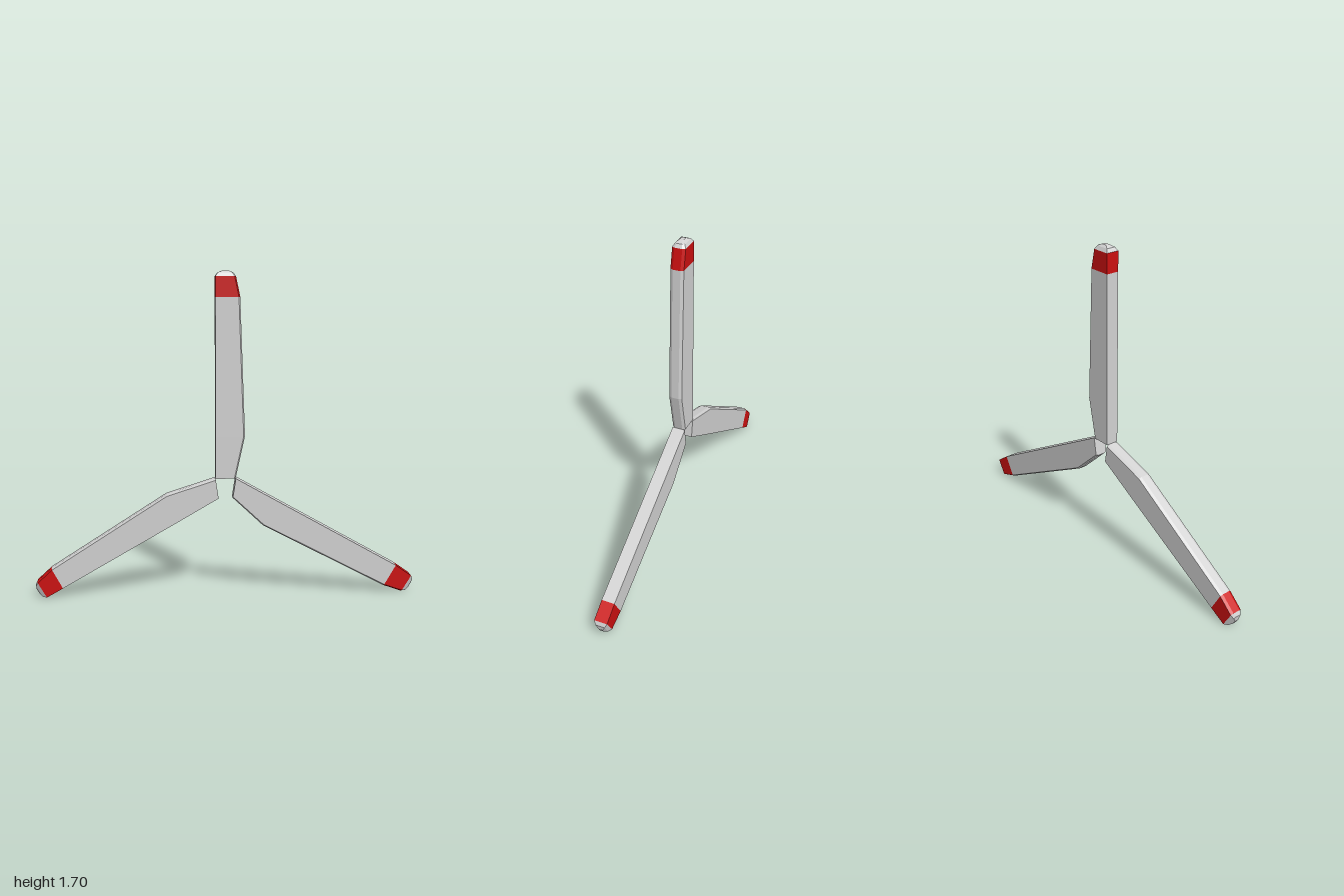
import * as THREE from 'three';

const HALF = 0.035; // half thickness of a blade

// One section: straight edge s, kinked edge k (chamfered), half thickness h
function section(s, k, h) {
  const S = new THREE.Vector2(...s), K = new THREE.Vector2(...k);
  const inner = K.clone().add(S.clone().sub(K).setLength(0.008 * h / HALF));
  const c = h * 0.58;
  return [[S, h], [inner, h], [K, c], [K, -c], [inner, -h], [S, -h]]
    .map(([p, z]) => [p.x, p.y, z]);
}

// Flat-shaded skin through a row of sections, with optional end faces
function loft(rings, closeStart, closeEnd) {
  const pos = [];
  const tri = (a, b, c) => pos.push(...a, ...b, ...c);
  const n = rings[0].length;
  for (let i = 0; i < rings.length - 1; i++) {
    const A = rings[i], B = rings[i + 1];
    for (let j = 0; j < n; j++) {
      const m = (j + 1) % n;
      tri(A[j], A[m], B[m]);
      tri(A[j], B[m], B[j]);
    }
  }
  const first = rings[0], last = rings[rings.length - 1];
  for (let j = 1; j < n - 1; j++) {
    if (closeStart) tri(first[0], first[j + 1], first[j]);
    if (closeEnd) tri(last[0], last[j], last[j + 1]);
  }
  const g = new THREE.BufferGeometry();
  g.setAttribute('position', new THREE.Float32BufferAttribute(pos, 3));
  g.computeVertexNormals();
  return g;
}

// Edge points at the root, kink, band start and band end of each blade
const BLADES = [
  { name: 'topBlade',
    s: [[-0.053, 0.628], [-0.053, 0.85], [-0.053, 1.565], [-0.053, 1.67]],
    k: [[0.053, 0.628], [0.101, 0.85], [0.075, 1.565], [0.053, 1.67]] },
  { name: 'leftBlade',
    s: [[0.053, 0.628], [0.25, 0.517], [0.909, 0.147], [0.993, 0.088]],
    k: [[0.037, 0.523], [0.198, 0.372], [0.845, 0.035], [0.941, 0.002]] },
  { name: 'rightBlade',
    s: [[-0.037, 0.523], [-0.26, 0.393], [-0.856, 0.05], [-0.941, 0.002]],
    k: [[-0.053, 0.628], [-0.31, 0.545], [-0.914, 0.158], [-0.99, 0.088]] },
];

export function createModel() {
  const grey = new THREE.MeshStandardMaterial({ color: 0xd2d2d2 });
  grey.name = 'bladeGrey';
  const red = new THREE.MeshStandardMaterial({ color: 0xcc1010 });
  red.name = 'bandRed';
  grey.flatShading = red.flatShading = true;

  const model = new THREE.Group();
  model.name = 'rotor';
  for (const { name, s, k } of BLADES) {
    const blade = new THREE.Group();
    blade.name = name;
    const add = (part, geometry, material) => {
      const mesh = new THREE.Mesh(geometry, material);
      mesh.name = part;
      blade.add(mesh);
    };
    const rings = s.map((p, i) => section(p, k[i], HALF));

    // Rounded tip: shrinking sections pushed outward from the band end
    const S = new THREE.Vector2(...s[3]), K = new THREE.Vector2(...k[3]);
    const mid = S.clone().add(K).multiplyScalar(0.5);
    const half = K.clone().sub(mid);
    const out = new THREE.Vector2(-half.y, half.x).normalize();
    const tip = [[0, 1, HALF], [0.018, 0.75, 0.025], [0.028, 0.3, 0.011]].map(([d, w, h]) => {
      const c = mid.clone().addScaledVector(out, d);
      return section(c.clone().addScaledVector(half, -w).toArray(),
        c.clone().addScaledVector(half, w).toArray(), h);
    });

    add('bladeBody', loft(rings.slice(0, 3), true, false), grey);
    add('redBand', loft(rings.slice(2), false, false), red);
    add('bladeTip', loft(tip, false, true), grey);
    model.add(blade);
  }
  return model;
}
